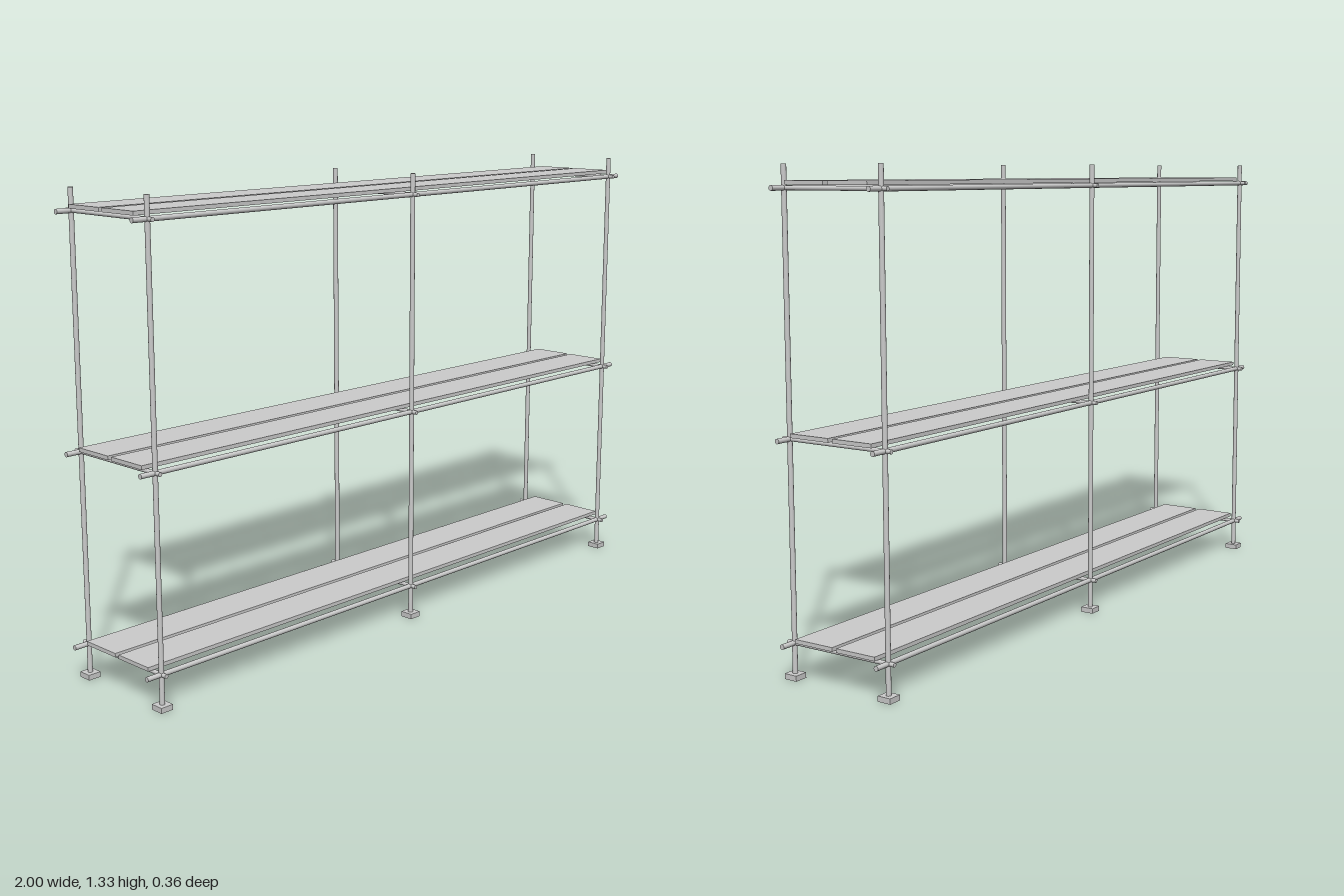
import * as THREE from 'three';

const POST_X = [-0.952, 0, 0.952];
const SIDE_Z = [-0.157, 0.157];
const LEVELS = [0.097, 0.636, 1.273];
const POST_TOP = 1.333;

export function createModel() {
  const model = new THREE.Group();
  model.name = 'scaffoldShelf';
  const material = new THREE.MeshStandardMaterial({ color: 0xcccccc });

  const add = (name, geometry, x, y, z) => {
    const mesh = new THREE.Mesh(geometry, material);
    mesh.name = name;
    mesh.position.set(x, y, z);
    model.add(mesh);
  };
  const tube = (radius, length) => new THREE.CylinderGeometry(radius, radius, length, 16);

  const foot = new THREE.BoxGeometry(0.038, 0.015, 0.04);
  const post = tube(0.007, POST_TOP - 0.01);
  const rail = tube(0.007, 2).rotateZ(Math.PI / 2);
  const crossbar = tube(0.006, 0.356).rotateX(Math.PI / 2);
  const board = new THREE.BoxGeometry(1.952, 0.011, 0.126);

  // Uprights standing on foot plates
  for (const x of POST_X) {
    for (const z of SIDE_Z) {
      add('footPlate', foot, x, 0.0075, z);
      add('post', post, x, (POST_TOP + 0.01) / 2, z);
    }
  }

  // Each level: long rails, crossbars and two boards
  for (const y of LEVELS) {
    for (const z of SIDE_Z) add('rail', rail, 0, y, z);
    for (const x of POST_X) add('crossbar', crossbar, x, y, 0);
    for (const side of [-1, 1]) add('board', board, 0, y + 0.0135, side * 0.07);
  }

  return model;
}
